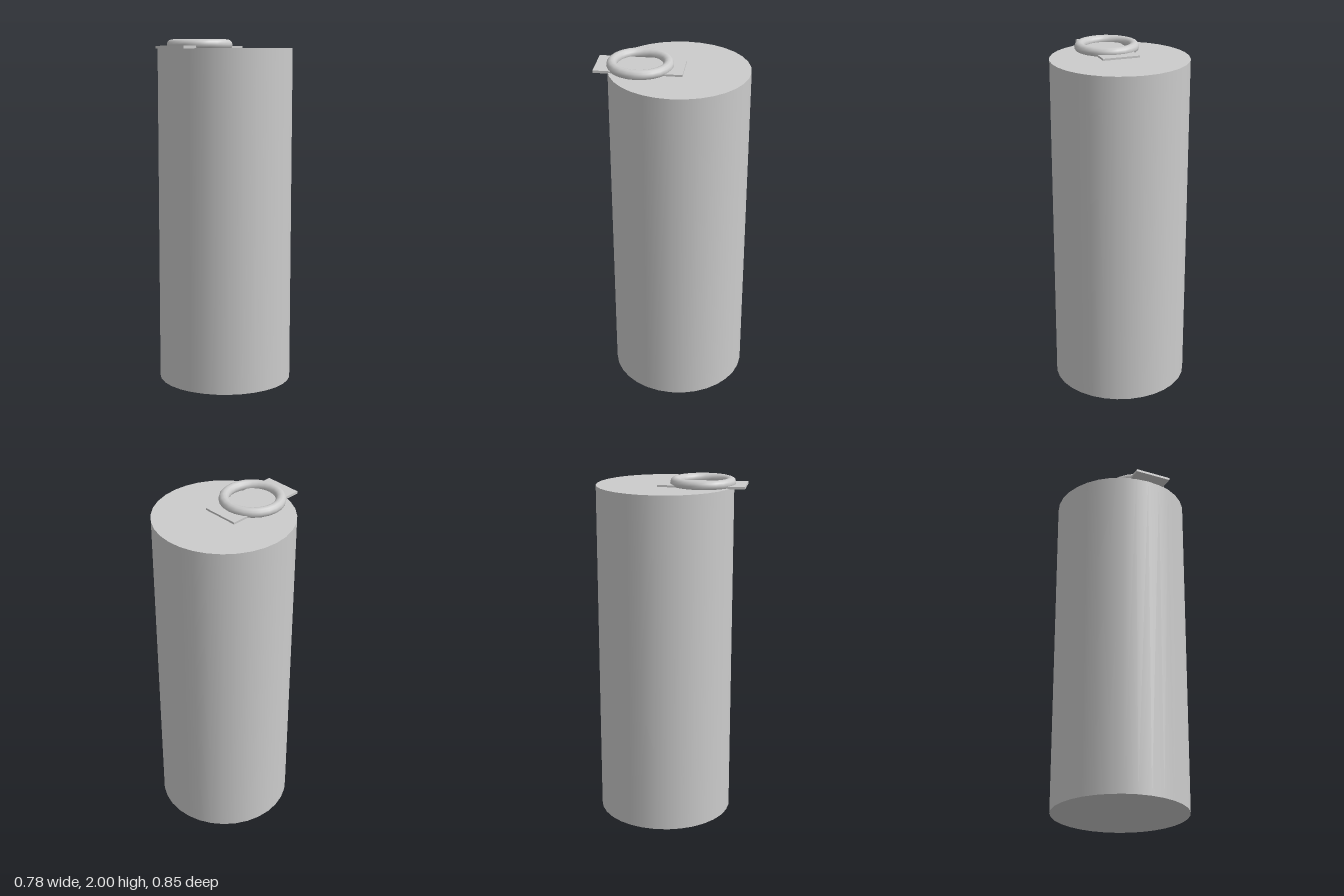
import * as THREE from 'three';

export function createModel() {
  const model = new THREE.Group();
  const material = new THREE.MeshStandardMaterial({ color: 0xcccccc });

  function add(name, geometry, x, y, z) {
    const mesh = new THREE.Mesh(geometry, material);
    mesh.name = name;
    mesh.position.set(x, y, z);
    model.add(mesh);
    return mesh;
  }

  // Tall closed can, set slightly back
  const height = 1.953;
  add('body', new THREE.CylinderGeometry(0.39, 0.39, height, 32), 0, height / 2, -0.035);

  // Thin tab overhanging the front rim
  add('tab', new THREE.BoxGeometry(0.215, 0.014, 0.487), 0, 1.957, 0.18);

  // Pull ring lying flat on the tab
  const ring = add('pullRing', new THREE.TorusGeometry(0.156, 0.029, 12, 24), 0, 1.971, 0.18);
  ring.rotation.x = -Math.PI / 2;

  return model;
}
